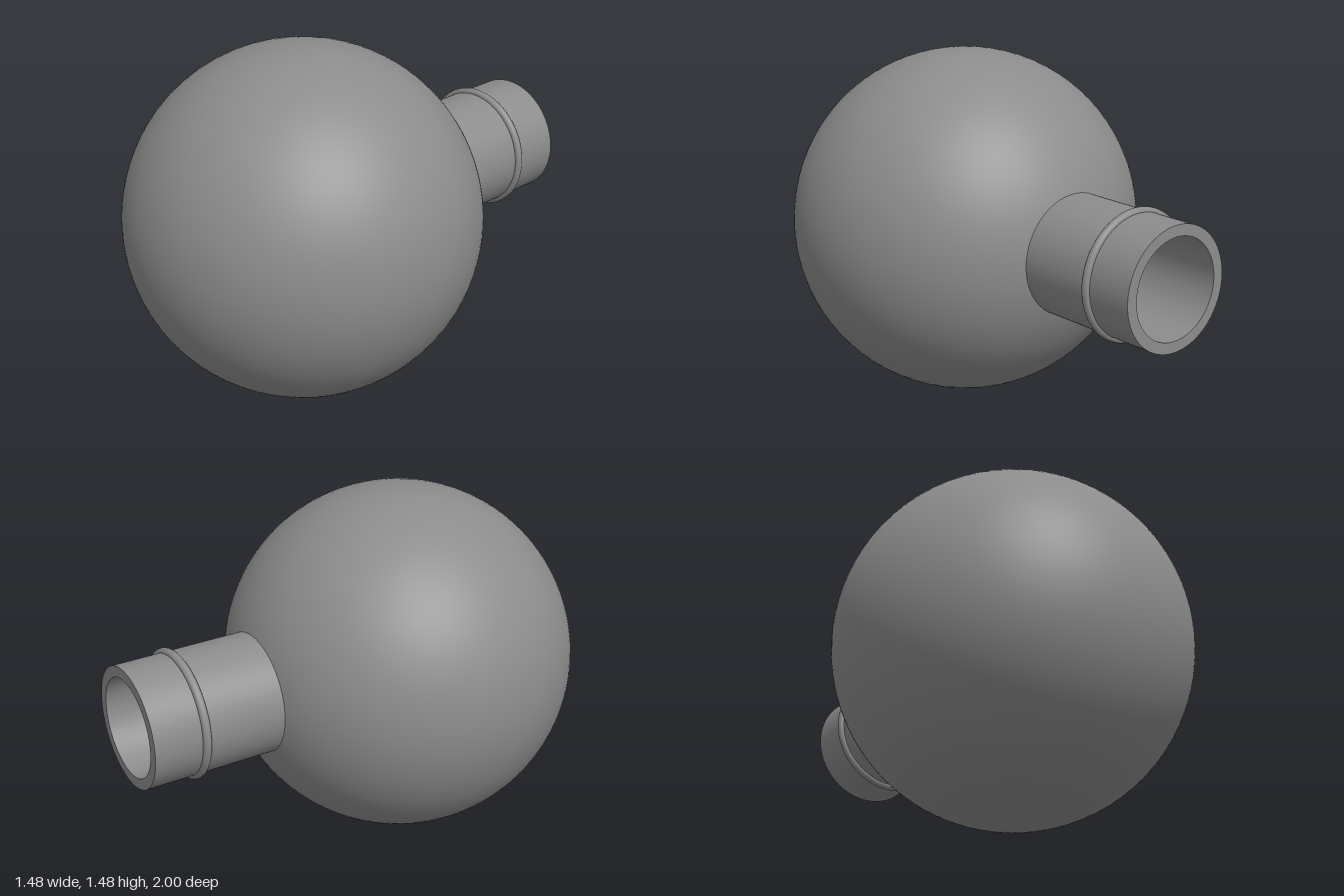
import * as THREE from 'three';

export function createModel() {
  const model = new THREE.Group();
  model.name = 'roundFlask';
  const gray = new THREE.MeshStandardMaterial({ color: 0x8c8c8c, side: THREE.DoubleSide });
  gray.name = 'gray';

  const R = 0.74, innerR = 0.69;         // bulb radii
  const neckR = 0.253, boreR = 0.207;    // neck radii
  const end = 1.26;                      // neck mouth, measured from the bulb centre

  // The flask is built upright around its bulb centre, then laid down with the neck to the back
  const flask = new THREE.Group();
  flask.name = 'flask';
  flask.rotation.x = -Math.PI / 2;
  flask.position.set(0, R, 0.26);
  model.add(flask);

  const add = (name, geometry) => {
    const mesh = new THREE.Mesh(geometry, gray);
    mesh.name = name;
    flask.add(mesh);
    return mesh;
  };
  // Sphere with a round opening at the top
  const bulb = (radius, opening) => {
    const start = Math.asin(opening / radius);
    return new THREE.SphereGeometry(radius, 96, 64, 0, Math.PI * 2, start, Math.PI - start);
  };
  // Open tube from the sphere's opening up to the mouth
  const tube = (radius, sphereRadius) => {
    const from = Math.sqrt(sphereRadius ** 2 - radius ** 2);
    return new THREE.CylinderGeometry(radius, radius, end - from, 96, 1, true)
      .translate(0, (end + from) / 2, 0);
  };

  // Hollow bulb
  add('bulb', bulb(R, neckR));
  add('bulbInside', bulb(innerR, boreR));

  // Neck, bore and flat mouth rim
  add('neck', tube(neckR, R));
  add('neckBore', tube(boreR, innerR));
  add('mouthRim', new THREE.RingGeometry(boreR, neckR, 96).rotateX(-Math.PI / 2).translate(0, end, 0));

  // Raised bead around the neck
  add('neckBead', new THREE.TorusGeometry(neckR, 0.018, 16, 96).rotateX(Math.PI / 2).translate(0, 1.04, 0));

  return model;
}
